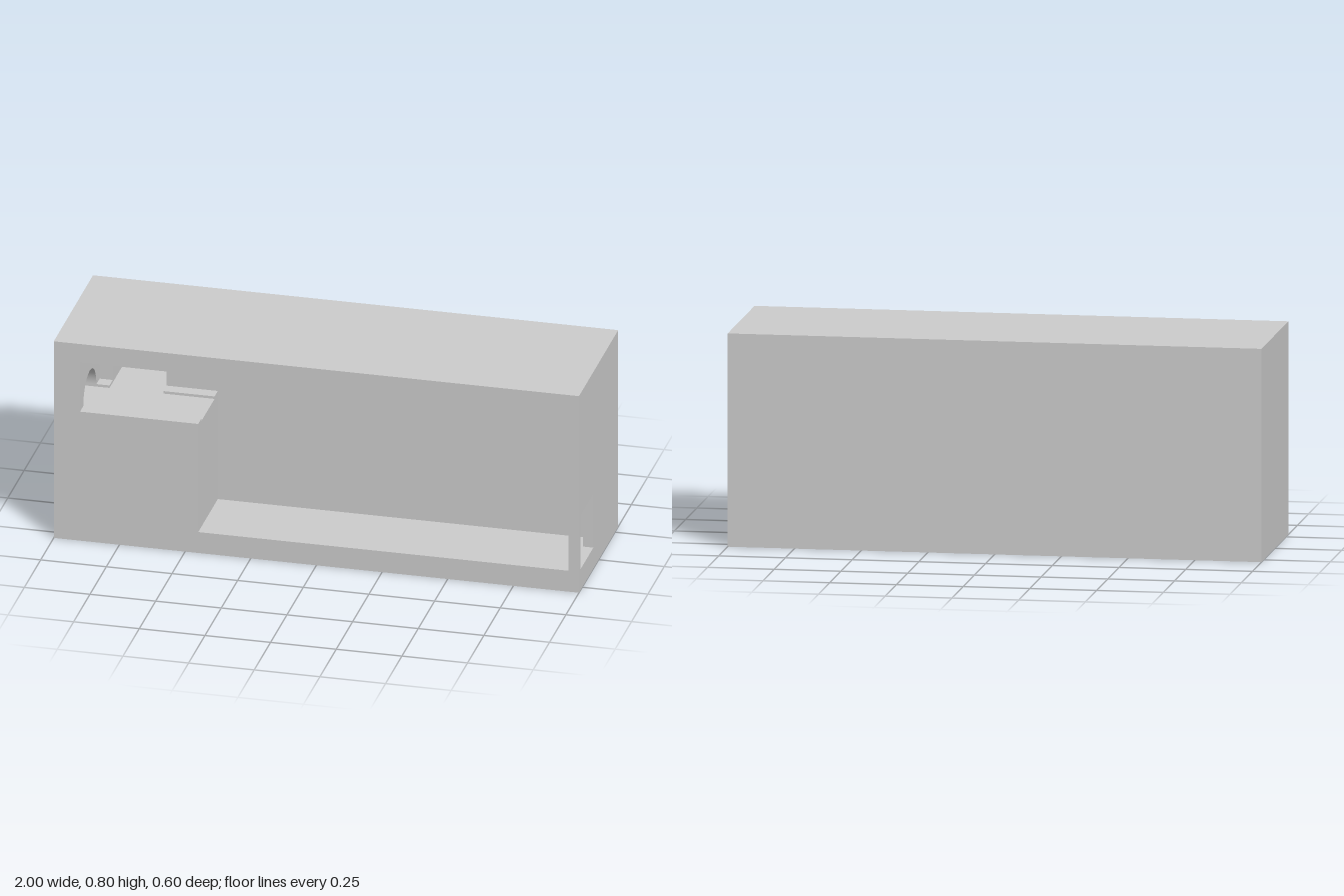
import * as THREE from 'three';

const material = new THREE.MeshStandardMaterial({ color: 0xcccccc, side: THREE.DoubleSide });

// Where a flat outline (u, v) lands for a face square to each axis
const place = {
  x: (at, u, v) => [at, v, u], // outline in z, y
  y: (at, u, v) => [u, at, v], // outline in x, z
  z: (at, u, v) => [u, v, at], // outline in x, y
};

const rect = (u0, u1, v0, v1) => [[u0, v0], [u1, v0], [u1, v1], [u0, v1]];
const toVectors = (pts) => pts.map(([u, v]) => new THREE.Vector2(u, v));

function face(group, name, axis, at, outline, holes = []) {
  const shape = new THREE.Shape(toVectors(outline));
  for (const h of holes) shape.holes.push(new THREE.Path(toVectors(h)));
  const geometry = new THREE.ShapeGeometry(shape);
  const p = geometry.attributes.position;
  for (let i = 0; i < p.count; i++) p.setXYZ(i, ...place[axis](at, p.getX(i), p.getY(i)));
  geometry.computeVertexNormals();
  const mesh = new THREE.Mesh(geometry, material);
  mesh.name = name;
  group.add(mesh);
}

export function createModel() {
  const model = new THREE.Group();
  model.name = 'housing';
  const part = (name) => {
    const g = new THREE.Group();
    g.name = name;
    model.add(g);
    return g;
  };

  // Main levels
  const shelfY = 0.525, grooveY = 0.515, topY = 0.725, floorY = 0.085, portY = 0.305;
  const stepX = -0.45, leftX = -0.9, rightX = 0.9, notchX = 0.96, endX = -0.98;
  const grooveZ = [0.05, 0.25], portZ = [0.08, 0.28];
  const nicheX = [-0.85, -0.645], nicheTop = 0.715, nicheBack = -0.2;

  const pocketRight = [
    [leftX, shelfY], [leftX, topY], [rightX, topY], [rightX, portY], [notchX, portY],
    [notchX, floorY], [stepX, floorY], [stepX, shelfY],
  ];

  // Outer shell
  const shell = part('outerShell');
  face(shell, 'frontPanel', 'z', 0.3, rect(-1, 1, 0, 0.8), [pocketRight]);
  face(shell, 'backPanel', 'z', -0.3, rect(-1, 1, 0, 0.8));
  face(shell, 'leftEndPanel', 'x', 1, rect(-0.3, 0.3, 0, 0.8), [rect(...portZ, floorY, portY)]);
  face(shell, 'rightEndPanel', 'x', -1, rect(-0.3, 0.3, 0, 0.8));
  face(shell, 'topPanel', 'y', 0.8, rect(-1, 1, -0.3, 0.3));
  face(shell, 'bottomPanel', 'y', 0, rect(-1, 1, -0.3, 0.3));

  // Half-round arch in z, y
  const arch = [];
  for (let i = 0; i <= 24; i++) {
    const a = Math.PI * (1 - i / 24);
    arch.push([0.15 + 0.1 * Math.cos(a), shelfY + 0.1 * Math.sin(a)]);
  }

  // Front pocket
  const pocket = part('frontPocket');
  face(pocket, 'pocketBack', 'z', 0, [
    ...pocketRight, [nicheX[1], shelfY], [nicheX[1], nicheTop], [nicheX[0], nicheTop], [nicheX[0], shelfY],
  ]);
  face(pocket, 'pocketCeiling', 'y', topY, rect(leftX, rightX, 0, 0.3));
  face(pocket, 'pocketFloor', 'y', floorY, rect(stepX, notchX, 0, 0.3));
  face(pocket, 'pocketSideWall', 'x', rightX, rect(0, 0.3, portY, topY));
  face(pocket, 'notchCeiling', 'y', portY, rect(rightX, notchX, 0, 0.3));
  face(pocket, 'notchWallRear', 'x', notchX, rect(0, portZ[0], floorY, portY));
  face(pocket, 'notchWallFront', 'x', notchX, rect(portZ[1], 0.3, floorY, portY));
  face(pocket, 'archWall', 'x', leftX, [[0, shelfY], ...arch, [0.3, shelfY], [0.3, topY], [0, topY]]);
  face(pocket, 'stepWall', 'x', stepX, [
    [0, floorY], [0.3, floorY], [0.3, shelfY], [grooveZ[1], shelfY], [grooveZ[1], grooveY],
    [grooveZ[0], grooveY], [grooveZ[0], shelfY], [0, shelfY],
  ]);

  // Shelf strips beside the groove
  const shelf = part('shelf');
  face(shelf, 'shelfFront', 'y', shelfY, rect(leftX, stepX, grooveZ[1], 0.3));
  face(shelf, 'shelfRearOuter', 'y', shelfY, rect(leftX, nicheX[0], 0, grooveZ[0]));
  face(shelf, 'shelfRearInner', 'y', shelfY, rect(nicheX[1], stepX, 0, grooveZ[0]));

  // Shallow groove that runs into a half-round socket
  const groove = part('groove');
  face(groove, 'grooveFloor', 'y', grooveY, [
    [endX, grooveZ[1]], [stepX, grooveZ[1]], [stepX, grooveZ[0]], [nicheX[1], grooveZ[0]],
    [nicheX[1], nicheBack], [nicheX[0], nicheBack], [nicheX[0], grooveZ[0]], [endX, grooveZ[0]],
  ]);
  face(groove, 'grooveFrontEdge', 'z', grooveZ[1], rect(endX, stepX, grooveY, shelfY));
  face(groove, 'grooveRearEdgeOuter', 'z', grooveZ[0], rect(endX, nicheX[0], grooveY, shelfY));
  face(groove, 'grooveRearEdgeInner', 'z', grooveZ[0], rect(nicheX[1], stepX, grooveY, shelfY));
  face(groove, 'socketEnd', 'x', endX, [[grooveZ[0], grooveY], ...arch, [grooveZ[1], grooveY]]);
  const vault = new THREE.CylinderGeometry(0.1, 0.1, leftX - endX, 24, 1, true, -Math.PI, Math.PI);
  const socket = new THREE.Mesh(vault.rotateZ(-Math.PI / 2), material);
  socket.name = 'socketVault';
  socket.position.set((leftX + endX) / 2, shelfY, 0.15);
  groove.add(socket);

  // Square niche behind the shelf
  const niche = part('niche');
  face(niche, 'nicheBack', 'z', nicheBack, rect(...nicheX, grooveY, nicheTop));
  face(niche, 'nicheCeiling', 'y', nicheTop, rect(...nicheX, nicheBack, 0));
  for (const x of nicheX) {
    face(niche, 'nicheWall', 'x', x, [
      [nicheBack, grooveY], [grooveZ[0], grooveY], [grooveZ[0], shelfY],
      [0, shelfY], [0, nicheTop], [nicheBack, nicheTop],
    ]);
  }

  // Port through the end wall
  const port = part('sidePort');
  for (const z of portZ) face(port, 'portSide', 'z', z, rect(notchX, 1, floorY, portY));
  for (const y of [floorY, portY]) face(port, 'portSill', 'y', y, rect(notchX, 1, ...portZ));

  return model;
}
